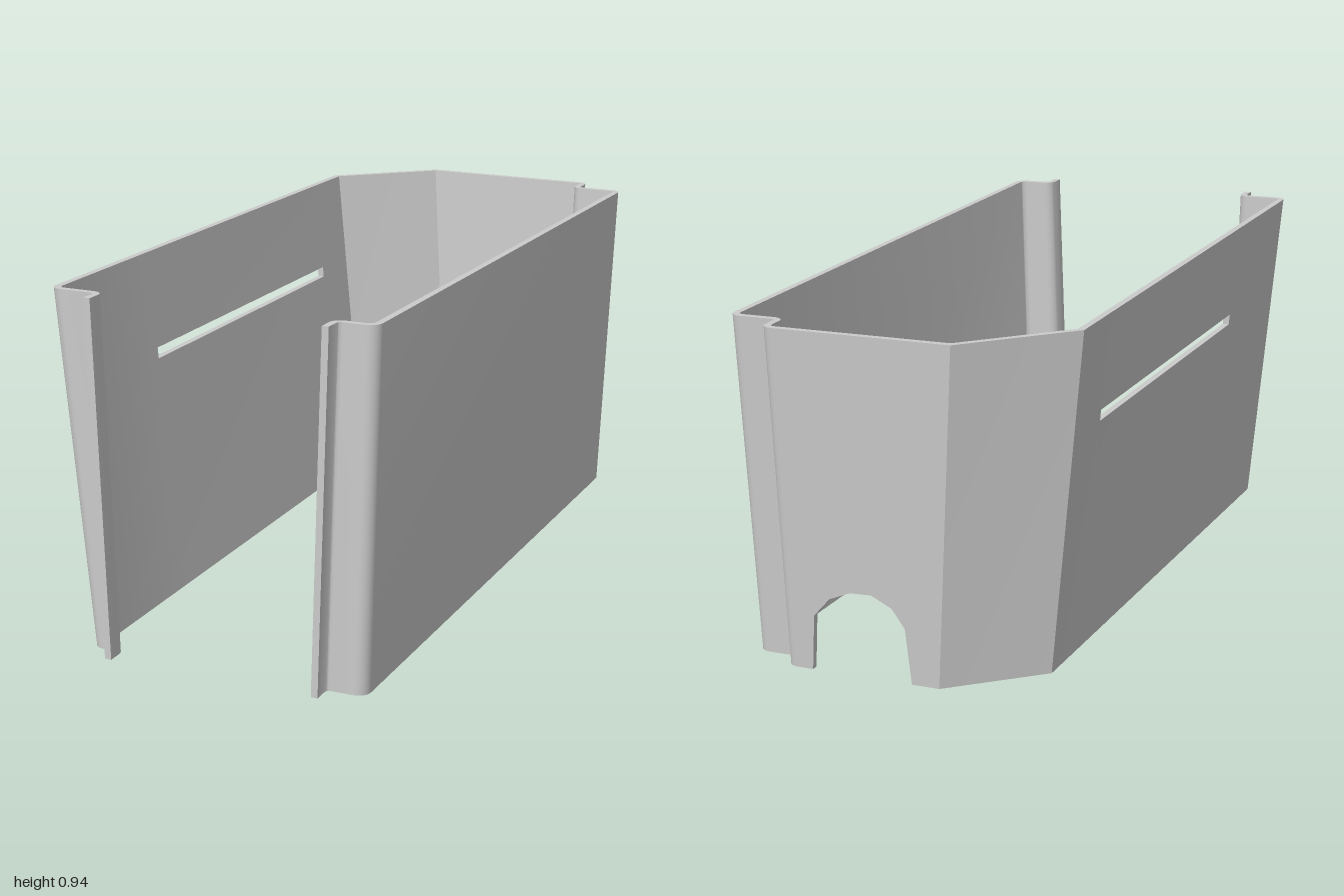
import * as THREE from 'three';
import { toCreasedNormals } from 'three/addons/utils/BufferGeometryUtils.js';

const THICK = 0.018, ARC = 5;
const lerp = THREE.MathUtils.lerp;

// Outer plan of the tapered shell: x, z at the top rim, x, z at the bottom rim, corner radius
const corners = [
  [-0.315, 1.0, -0.288, 1.0, 0],
  [-0.315, 0.947, -0.288, 0.947, 0.012],
  [-0.443, 0.947, -0.355, 0.947, 0.032],
  [-0.443, -0.76, -0.355, -0.745, 0],
  [-0.2, -1.0, -0.135, -0.945, 0],
  [0.308, -1.0, 0.292, -0.945, 0.03],
  [0.308, -0.92, 0.292, -0.88, 0.012],
  [0.44, -0.92, 0.41, -0.88, 0.032],
  [0.44, 0.947, 0.41, 0.947, 0.032],
  [0.34, 0.947, 0.305, 0.947, 0.012],
  [0.34, 1.0, 0.305, 1.0, 0],
];
const SIDE = 2, BACK = 4; // panels that carry the slot and the arch

// Cable arch in the back wall, as x, y
const arch = [[-0.06, 0.025], [-0.047, 0.175], [-0.013, 0.225], [0.042, 0.253],
  [0.1, 0.251], [0.158, 0.227], [0.205, 0.175], [0.217, 0.025]];
// Slot in the side wall
const slot = { z: [0.48, -0.58], v: [0.69, 0.722] };

// Slightly tilted rim planes
const topY = (x, z) => 0.933 + 0.0085 * z - 0.008 * x;
const bottomY = (x, z) => 0.014 - 0.011 * z - 0.008 * x;

// Round the corners; returns one list of points for each corner
function roundCorners(k) {
  const p = corners.map(c => new THREE.Vector2(c[k], c[k + 1]));
  return p.map((c, i) => {
    const r = corners[i][4];
    if (!r) return [c];
    const a = c.clone().add(p[i - 1].clone().sub(c).setLength(r));
    const b = c.clone().add(p[i + 1].clone().sub(c).setLength(r));
    // weighted curve close to a circular arc
    return Array.from({ length: ARC + 1 }, (_, j) => {
      const t = j / ARC, w = 0.7071;
      const A = (1 - t) ** 2, C = 2 * w * t * (1 - t), B = t * t;
      return a.clone().multiplyScalar(A).addScaledVector(c, C).addScaledVector(b, B)
        .divideScalar(A + B + C);
    });
  });
}

// Mitred offset towards the inside
function offset(pts) {
  const normal = (a, b) => new THREE.Vector2(a.y - b.y, b.x - a.x).normalize();
  return pts.map((p, i) => {
    const n0 = normal(pts[Math.max(i - 1, 0)], pts[Math.max(i, 1)]);
    const last = pts.length - 1;
    const n1 = normal(pts[Math.min(i, last - 1)], pts[Math.min(i + 1, last)]);
    const m = n0.clone().add(n1).normalize();
    return p.clone().addScaledVector(m, THICK / m.dot(n0));
  });
}

function shellGeometry() {
  const tops = roundCorners(0), bottoms = roundCorners(2);
  const top = [], bottom = [], low = [], slotEnds = [];
  const add = (t, b, l = 0) => { top.push(t); bottom.push(b); low.push(l); };

  tops.forEach((list, c) => {
    list.forEach((t, j) => add(t, bottoms[c][j]));
    if (c !== SIDE && c !== BACK) return;
    const t0 = list.at(-1), t1 = tops[c + 1][0];
    const b0 = bottoms[c].at(-1), b1 = bottoms[c + 1][0];
    const split = (f, l) => add(t0.clone().lerp(t1, f), b0.clone().lerp(b1, f), l);
    if (c === SIDE) {
      for (const z of slot.z) {
        slotEnds.push(top.length);
        split((z - t0.y) / (t1.y - t0.y), 0);
      }
    } else {
      for (const [x, y] of arch) {
        const v = (y - 0.025) / 0.9;
        const l = lerp(b0.x, t0.x, v), r = lerp(b1.x, t1.x, v);
        split((x - l) / (r - l), v);
      }
    }
  });

  const outer = [top, bottom], inner = [offset(top), offset(bottom)];
  const at = (skin, i, v) => {
    const [t, b] = [skin[0][i], skin[1][i]];
    return [lerp(b.x, t.x, v), lerp(bottomY(b.x, b.y), topY(t.x, t.y), v), lerp(b.y, t.y, v)];
  };
  const pos = [];
  const quad = (a, b, c, d) => pos.push(...a, ...b, ...c, ...a, ...c, ...d);

  // A stretch of wall between two stations: both skins and the two rims
  const wall = (i, j, li, lj, hi, hj) => {
    const [oi, oj, Oi, Oj] = [at(outer, i, li), at(outer, j, lj), at(outer, i, hi), at(outer, j, hj)];
    const [ni, nj, Ni, Nj] = [at(inner, i, li), at(inner, j, lj), at(inner, i, hi), at(inner, j, hj)];
    quad(oj, oi, Oi, Oj);
    quad(ni, nj, Nj, Ni);
    quad(Oi, Ni, Nj, Oj);
    quad(oj, nj, ni, oi);
  };
  // An end face across the thickness
  const cap = (i, l, h, forward) => {
    const q = [at(outer, i, l), at(inner, i, l), at(inner, i, h), at(outer, i, h)];
    quad(...(forward ? q.reverse() : q));
  };

  const [v0, v1] = slot.v;
  for (let i = 0; i < top.length - 1; i++) {
    if (i === slotEnds[0]) {
      wall(i, i + 1, 0, 0, v0, v0);
      wall(i, i + 1, v1, v1, 1, 1);
    } else wall(i, i + 1, low[i], low[i + 1], 1, 1);
  }
  cap(0, 0, 1, false);
  cap(top.length - 1, 0, 1, true);
  cap(slotEnds[0], v0, v1, true);
  cap(slotEnds[1], v0, v1, false);

  const g = new THREE.BufferGeometry();
  g.setAttribute('position', new THREE.Float32BufferAttribute(pos, 3));
  return toCreasedNormals(g, 0.6);
}

export function createModel() {
  const group = new THREE.Group();
  group.name = 'openCover';
  const shell = new THREE.Mesh(shellGeometry(), new THREE.MeshStandardMaterial({ color: 0xcccccc }));
  shell.name = 'wallShell';
  group.add(shell);
  return group;
}
